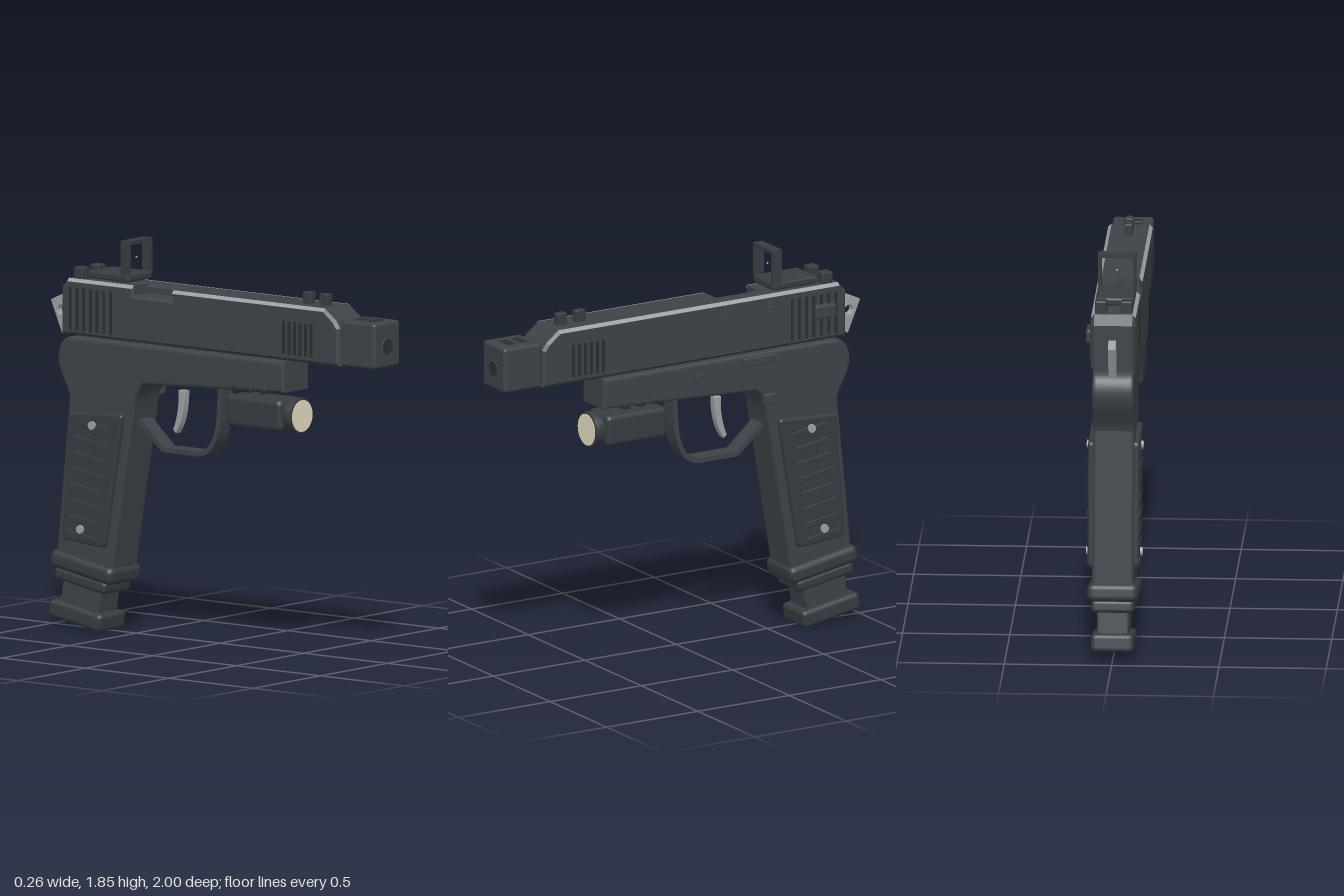
import * as THREE from 'three';
import { RoundedBoxGeometry } from 'three/addons/geometries/RoundedBoxGeometry.js';

const mat = (name, color) => Object.assign(new THREE.MeshStandardMaterial({ color }), { name });

export function createModel() {
  const body = mat('gunmetal', 0x3d4348);
  const dark = mat('darkPolymer', 0x373c41);
  const black = mat('blackDetail', 0x2a2e32);
  const steel = mat('steel', 0x9ca1a5);
  const cream = mat('lensCream', 0xe4dbc0);

  const root = new THREE.Group();
  root.name = 'pistol';

  const add = (name, geometry, material, x = 0, y = 0, z = 0, rx = 0) => {
    const mesh = new THREE.Mesh(geometry, material);
    mesh.name = name;
    mesh.position.set(x, y, z);
    mesh.rotation.x = rx;
    root.add(mesh);
    return mesh;
  };
  const box = (name, m, w, h, d, x, y, z) =>
    add(name, new THREE.BoxGeometry(w, h, d), m, x, y, z);
  const rbox = (name, m, w, h, d, x, y, z, rx = 0, r = 0.015) =>
    add(name, new RoundedBoxGeometry(w, h, d, 2, r), m, x, y, z, rx);
  const disc = (name, m, r, depth, x, y, z, axis = 'z') => {
    const g = new THREE.CylinderGeometry(r, r, depth, 32);
    if (axis === 'z') g.rotateX(Math.PI / 2);
    else g.rotateZ(Math.PI / 2);
    return add(name, g, m, x, y, z);
  };

  // Side profile in (z, y), extruded across x and centred on x
  const poly = (pts) => new THREE.Shape(pts.map((p) => new THREE.Vector2(p[0], p[1])));
  const plate = (name, m, shape, width, bevel, x = 0, bevelSegments = 3) => {
    const g = new THREE.ExtrudeGeometry(shape, {
      depth: width - 2 * bevel, bevelEnabled: bevel > 0, bevelSize: bevel,
      bevelThickness: bevel, bevelOffset: -bevel, bevelSegments, curveSegments: 16,
    });
    g.translate(0, 0, bevel - width / 2);
    g.rotateY(-Math.PI / 2);
    return add(name, g, m, x);
  };

  // Slide with the ejection port cut into its right half
  plate('slide', body, poly([[0.79, 1.39], [0.79, 1.57], [0.765, 1.605], [0.7, 1.655],
    [-0.21, 1.655], [-0.21, 1.61], [-0.44, 1.61], [-0.44, 1.655],
    [-0.83, 1.655], [-0.87, 1.61], [-0.87, 1.39]]), 0.206, 0.014, 0, 1);
  plate('slideBesidePort', body, poly([[-0.195, 1.57], [-0.195, 1.655], [-0.455, 1.655],
    [-0.455, 1.57]]), 0.103, 0.014, 0.0515, 1);

  // Bright worn edges along the top of the slide
  for (const [s, z0, z1] of [[1, -0.83, 0.7], [-1, -0.205, 0.7], [-1, -0.83, -0.445]]) {
    const strip = box('slideEdge', steel, 0.021, 0.004, z1 - z0, s * 0.0957, 1.6477, (z0 + z1) / 2);
    strip.rotation.z = -s * Math.PI / 4;
  }
  for (const s of [-1, 1]) {
    for (let i = 0; i < 6; i++)
      box('frontSerration', black, 0.012, 0.155, 0.012, s * 0.103, 1.5, 0.628 - i * 0.033);
    for (let i = 0; i < 7; i++)
      box('rearSerration', black, 0.012, 0.2, 0.012, s * 0.103, 1.515, -0.57 - i * 0.04);
  }
  rbox('safetyLever', body, 0.04, 0.065, 0.11, 0.11, 1.535, -0.745, 0, 0.01);

  // Barrel and compensator
  disc('barrel', dark, 0.06, 0.08, 0, 1.495, 0.795);
  rbox('compensator', body, 0.19, 0.215, 0.205, 0, 1.502, 0.8975, 0, 0.015);
  add('muzzleRing', new THREE.TorusGeometry(0.037, 0.005, 8, 32), body, 0, 1.495, 0.997);
  disc('bore', black, 0.035, 0.005, 0, 1.495, 0.999);
  for (const z of [0.855, 0.925])
    rbox('compensatorPort', black, 0.09, 0.008, 0.045, 0, 1.608, z, 0, 0.003);

  // Sights
  for (const z of [0.633, 0.532]) {
    rbox('frontSight', dark, 0.038, 0.06, 0.053, 0, 1.68, z, 0, 0.006);
  }
  rbox('sightBase', dark, 0.18, 0.038, 0.245, 0, 1.683, -0.598, 0, 0.012);
  for (const s of [-1, 1]) {
    box('sightFramePost', dark, 0.016, 0.16, 0.05, s * 0.08, 1.775, -0.5);
    rbox('rearSight', dark, 0.055, 0.06, 0.055, s * 0.06, 1.68, -0.778, 0, 0.007);
  }
  box('sightFrameTop', dark, 0.176, 0.018, 0.05, 0, 1.85, -0.5);
  add('sightDot', new THREE.SphereGeometry(0.005, 10, 8), steel, 0, 1.775, -0.5);

  // Hammer with a drilled spur
  const hammer = poly([[-0.872, 1.405], [-0.935, 1.56], [-0.998, 1.53], [-0.93, 1.375]]);
  hammer.holes.push(new THREE.Path().absarc(-0.935, 1.488, 0.022, 0, Math.PI * 2, true));
  plate('hammer', steel, hammer, 0.036, 0.003);

  // Frame and grip core
  const frame = new THREE.Shape();
  frame.moveTo(0.455, 1.38);
  frame.lineTo(-0.82, 1.38);
  frame.bezierCurveTo(-0.87, 1.375, -0.895, 1.33, -0.896, 1.28);
  frame.bezierCurveTo(-0.895, 1.2, -0.84, 1.16, -0.828, 1.09);
  frame.lineTo(-0.905, 0.33);
  frame.lineTo(-0.575, 0.28);
  frame.lineTo(-0.44, 1.08);
  frame.quadraticCurveTo(-0.425, 1.17, -0.38, 1.195);
  frame.lineTo(0.455, 1.235);
  plate('frame', body, frame, 0.194, 0.016);
  for (const z of [0.33, 0.247, 0.167])
    rbox('railLug', black, 0.204, 0.026, 0.032, 0, 1.232, z, 0, 0.006);
  rbox('slideStop', body, 0.04, 0.04, 0.178, 0.1, 1.35, -0.387, 0, 0.006);
  disc('takedownPin', body, 0.033, 0.03, 0.095, 1.3, -0.077, 'x');
  rbox('magazineRelease', body, 0.04, 0.052, 0.055, 0.098, 1.152, -0.443, 0, 0.008);

  // Grip panels with tilted ribs and screws
  const panel = new THREE.Shape();
  panel.moveTo(-0.515, 1.045);
  panel.lineTo(-0.79, 1.03);
  panel.quadraticCurveTo(-0.81, 1.03, -0.81, 1.0);
  panel.lineTo(-0.853, 0.46);
  panel.quadraticCurveTo(-0.855, 0.43, -0.83, 0.426);
  panel.lineTo(-0.62, 0.408);
  panel.quadraticCurveTo(-0.597, 0.408, -0.592, 0.44);
  panel.lineTo(-0.495, 1.02);
  panel.quadraticCurveTo(-0.49, 1.045, -0.515, 1.045);
  for (const s of [-1, 1]) {
    plate('gripPanel', dark, panel, 0.04, 0.012, s * 0.1);
    for (let i = 0; i < 8; i++) {
      const y = 0.972 - i * 0.0745, z = -0.66 - i * 0.011;
      rbox('gripRib', dark, 0.008, 0.028, 0.185, s * 0.12, y, z, 0.15, 0.003);
    }
    for (const [y, z] of [[0.98, -0.665], [0.485, -0.735]])
      disc('gripScrew', steel, 0.02, 0.016, s * 0.124, y, z, 'x');
  }

  // Magazine well and magazine
  const tilt = 0.175;
  rbox('magazineWell', dark, 0.24, 0.085, 0.375, 0, 0.302, -0.745, tilt, 0.03);
  rbox('magazineWellLip', dark, 0.2, 0.06, 0.31, 0, 0.238, -0.762, tilt, 0.02);
  rbox('magazine', body, 0.15, 0.22, 0.23, 0, 0.165, -0.775, tilt, 0.012);
  rbox('magazineBase', dark, 0.2, 0.085, 0.315, 0, 0.07, -0.795, tilt, 0.022);

  // Trigger guard: a centre line given thickness along its normals
  const v = (z, y) => new THREE.Vector3(z, y, 0);
  const guard = new THREE.CurvePath();
  guard.add(new THREE.LineCurve3(v(0.032, 1.21), v(0.025, 1.08)));
  guard.add(new THREE.CubicBezierCurve3(v(0.025, 1.08), v(0.015, 0.96), v(-0.03, 0.89), v(-0.11, 0.89)));
  guard.add(new THREE.LineCurve3(v(-0.11, 0.89), v(-0.31, 0.89)));
  guard.add(new THREE.LineCurve3(v(-0.31, 0.89), v(-0.45, 1.015)));
  const outer = [], inner = [];
  for (let i = 0; i <= 60; i++) {
    const p = guard.getPointAt(i / 60), t = guard.getTangentAt(i / 60);
    outer.push([p.x - t.y * 0.012, p.y + t.x * 0.012]);
    inner.unshift([p.x + t.y * 0.012, p.y - t.x * 0.012]);
  }
  plate('triggerGuard', body, poly([...outer, ...inner]), 0.085, 0);

  // Trigger
  const trigger = new THREE.Shape();
  trigger.moveTo(-0.198, 1.175);
  trigger.lineTo(-0.235, 1.175);
  trigger.quadraticCurveTo(-0.23, 1.07, -0.268, 0.985);
  trigger.lineTo(-0.25, 0.97);
  trigger.quadraticCurveTo(-0.198, 1.04, -0.198, 1.175);
  plate('trigger', steel, trigger, 0.04, 0.004);

  // Weapon light
  rbox('lightBody', dark, 0.18, 0.15, 0.33, 0, 1.12, 0.265, 0, 0.025);
  const head = new THREE.LatheGeometry([[0, 0], [0.074, 0], [0.084, 0.012], [0.084, 0.052],
    [0.078, 0.062], [0, 0.062]].map((p) => new THREE.Vector2(p[0], p[1])), 36);
  head.rotateX(Math.PI / 2);
  add('lightHead', head, dark, 0, 1.12, 0.427);
  disc('lightLens', cream, 0.075, 0.008, 0, 1.12, 0.488);

  return root;
}
